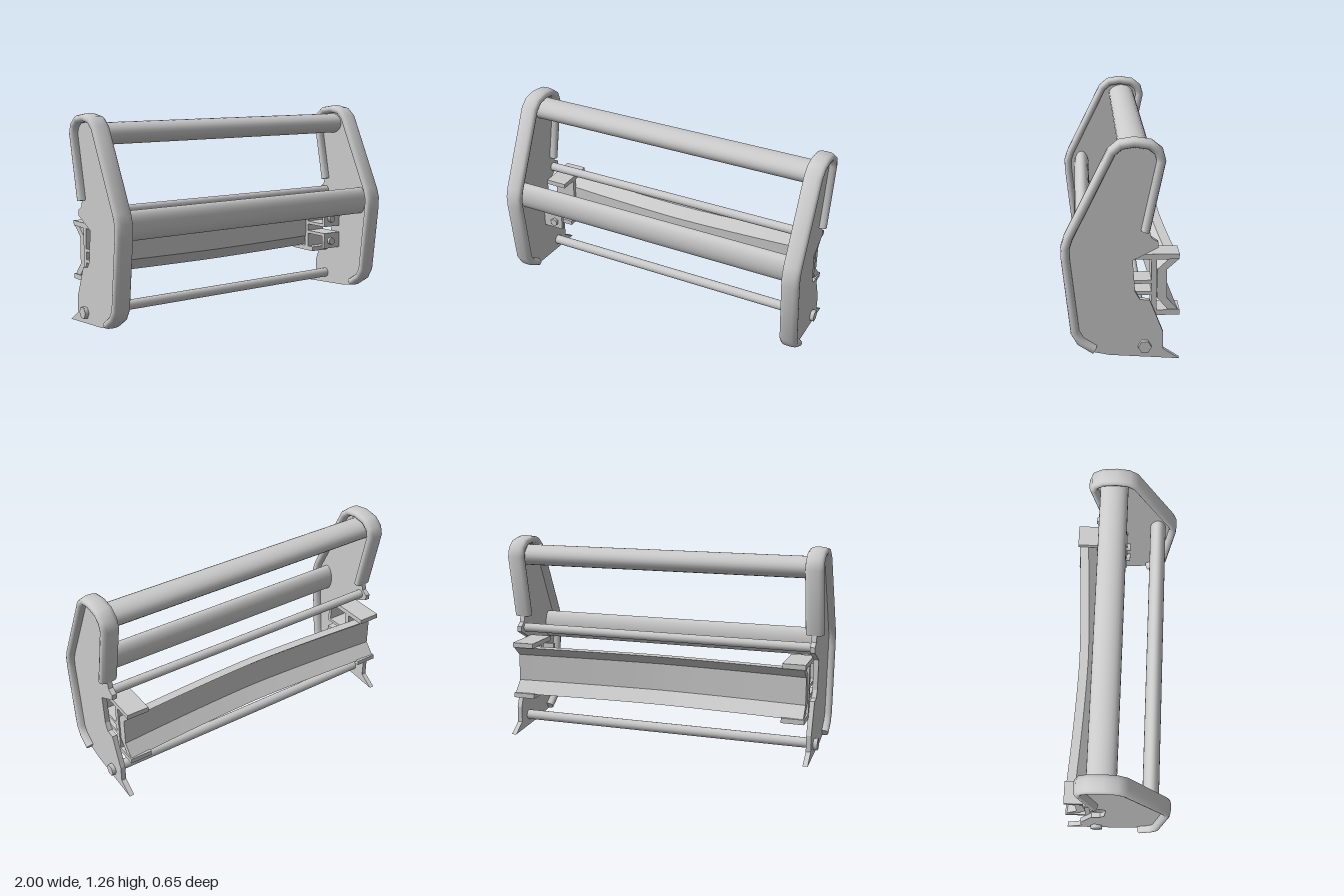
import * as THREE from 'three';
import { toCreasedNormals } from 'three/addons/utils/BufferGeometryUtils.js';

const mat = new THREE.MeshStandardMaterial({ color: 0xcccccc });

// Rail centre line, as [z, y]
const RAIL = [[0.143, 0.066], [0.219, 0.116], [0.249, 0.169], [0.296, 0.591], [0.297, 0.658],
  [0.279, 0.714], [0.05, 1.179], [0.003, 1.219], [-0.07, 1.231], [-0.153, 1.219],
  [-0.199, 1.183], [-0.213, 1.133], [-0.133, 0.748]];

// Rear and bottom edge of the side plate, as [z, y]
const PLATE_REAR = [[-0.156, 0.748], [-0.166, 0.708], [-0.203, 0.684], [-0.203, 0.651],
  [-0.066, 0.581], [-0.08, 0.399], [-0.106, 0.355], [-0.16, 0.349], [-0.236, 0.159],
  [-0.236, 0.06], [-0.326, 0], [0.06, 0.027], [0.156, 0.047]];

// Flared channel section of the bumper, as [z, y]
const CHANNEL = [[-0.203, 0.515], [-0.266, 0.575], [-0.322, 0.575], [-0.256, 0.515],
  [-0.256, 0.349], [-0.322, 0.275], [-0.266, 0.275], [-0.203, 0.349]];

function add(parent, name, geometry, x = 0, y = 0, z = 0) {
  const mesh = new THREE.Mesh(geometry, mat);
  mesh.name = name;
  mesh.position.set(x, y, z);
  parent.add(mesh);
  return mesh;
}

// Extrudes a [z, y] outline along x, centred on x = 0
function extrudeX(points, width, steps = 1) {
  const shape = new THREE.Shape(points.map(([z, y]) => new THREE.Vector2(z, y)));
  return new THREE.ExtrudeGeometry(shape, { depth: width, steps, bevelEnabled: false })
    .translate(0, 0, -width / 2).rotateY(-Math.PI / 2);
}

// Oval bar lying along x
function barX(length, ry, rz, sides = 24) {
  return new THREE.CylinderGeometry(1, 1, length, sides).rotateZ(Math.PI / 2).scale(1, ry, rz);
}

// Box given by its limits
function box(parent, name, x0, x1, y0, y1, z0, z1) {
  add(parent, name, new THREE.BoxGeometry(Math.abs(x1 - x0), y1 - y0, z1 - z0),
    (x0 + x1) / 2, (y0 + y1) / 2, (z0 + z1) / 2);
}

// Sweeps a flattened round section along a [z, y] path with mitred corners
function sweepRail(path, halfWidth, halfDepth, sides = 16) {
  const pos = [], index = [];
  const pts = path.map(([z, y]) => new THREE.Vector2(z, y));
  const dir = (i) => pts[i + 1].clone().sub(pts[i]).normalize();
  const last = pts.length - 1;
  const soft = (v) => Math.sign(v) * Math.abs(v) ** 0.75;
  pts.forEach((p, i) => {
    const before = dir(Math.max(i - 1, 0)), after = dir(Math.min(i, last - 1));
    const t = before.clone().add(after).normalize();
    const miter = 1 / t.dot(after);
    for (let j = 0; j < sides; j++) {
      const a = (j / sides) * Math.PI * 2;
      const b = soft(Math.sin(a)) * halfDepth * miter;
      pos.push(soft(Math.cos(a)) * halfWidth, p.y + t.x * b, p.x - t.y * b);
    }
  });
  for (let i = 0; i < last; i++) {
    for (let j = 0; j < sides; j++) {
      const k = (j + 1) % sides;
      const a = i * sides + j, b = i * sides + k;
      index.push(a, b, a + sides, b, b + sides, a + sides);
    }
  }
  for (let j = 1; j < sides - 1; j++) {
    const e = last * sides;
    index.push(0, j + 1, j, e, e + j, e + j + 1);
  }
  const g = new THREE.BufferGeometry();
  g.setAttribute('position', new THREE.Float32BufferAttribute(pos, 3));
  g.setIndex(index);
  return toCreasedNormals(g, 1.1);
}

// Channel bowed forward in the middle
function bumperGeometry() {
  const half = 0.925;
  const g = extrudeX(CHANNEL, half * 2, 24);
  const p = g.attributes.position;
  for (let i = 0; i < p.count; i++) {
    const t = Math.min(1, Math.abs(p.getX(i)) / half);
    p.setZ(i, p.getZ(i) + 0.047 * (1 - t ** 1.5));
  }
  return toCreasedNormals(g, 0.4);
}

export function createModel() {
  const model = new THREE.Group();
  model.name = 'grilleGuard';

  // Cross members
  add(model, 'topBar', barX(1.88, 0.065, 0.086), 0, 1.135, -0.084);
  add(model, 'middleBar', barX(1.88, 0.0875, 0.05), 0, 0.632, 0.2);
  add(model, 'upperRod', barX(1.88, 0.028, 0.028, 16), 0, 0.67, -0.142);
  add(model, 'lowerRod', barX(1.88, 0.031, 0.031, 16), 0, 0.083, -0.135);
  add(model, 'bumper', bumperGeometry());

  const plate = extrudeX([...RAIL, ...PLATE_REAR], 0.03);
  const rail = sweepRail(RAIL, 0.055, 0.025);

  for (const s of [1, -1]) {
    const side = new THREE.Group();
    side.name = s > 0 ? 'leftSide' : 'rightSide';
    model.add(side);

    // Upright plate with its rounded edge rail and outer bolt
    add(side, 'sidePlate', plate, s * 0.945);
    add(side, 'edgeRail', rail, s * 0.945);
    add(side, 'sideBolt', barX(0.03, 0.037, 0.037, 6).rotateX(Math.PI / 6).rotateX(Math.PI / 6),
      s * 0.97, 0.08, -0.135);

    // Bumper mounting bracket
    const inner = s * 0.795, outer = s * 0.932;
    box(side, 'topMount', inner, outer, 0.575, 0.605, -0.322, -0.063);
    box(side, 'bottomMount', inner, outer, 0.25, 0.28, -0.327, -0.12);
    box(side, 'mountWeb', inner, outer, 0.28, 0.575, -0.2, -0.17);

    // Bolted angle tabs
    for (const [y0, y1, shelf, bolt] of [[0.435, 0.545, 0.435, 0.49], [0.285, 0.39, 0.37, 0.335]]) {
      box(side, 'angleTab', inner, outer, y0, y1, -0.022, 0);
      box(side, 'angleShelf', inner, outer, shelf, shelf + 0.02, -0.18, -0.02);
      add(side, 'tabBolt', new THREE.CylinderGeometry(0.026, 0.026, 0.022, 6).rotateX(Math.PI / 2),
        s * 0.848, bolt, 0.01);
    }
  }
  return model;
}
